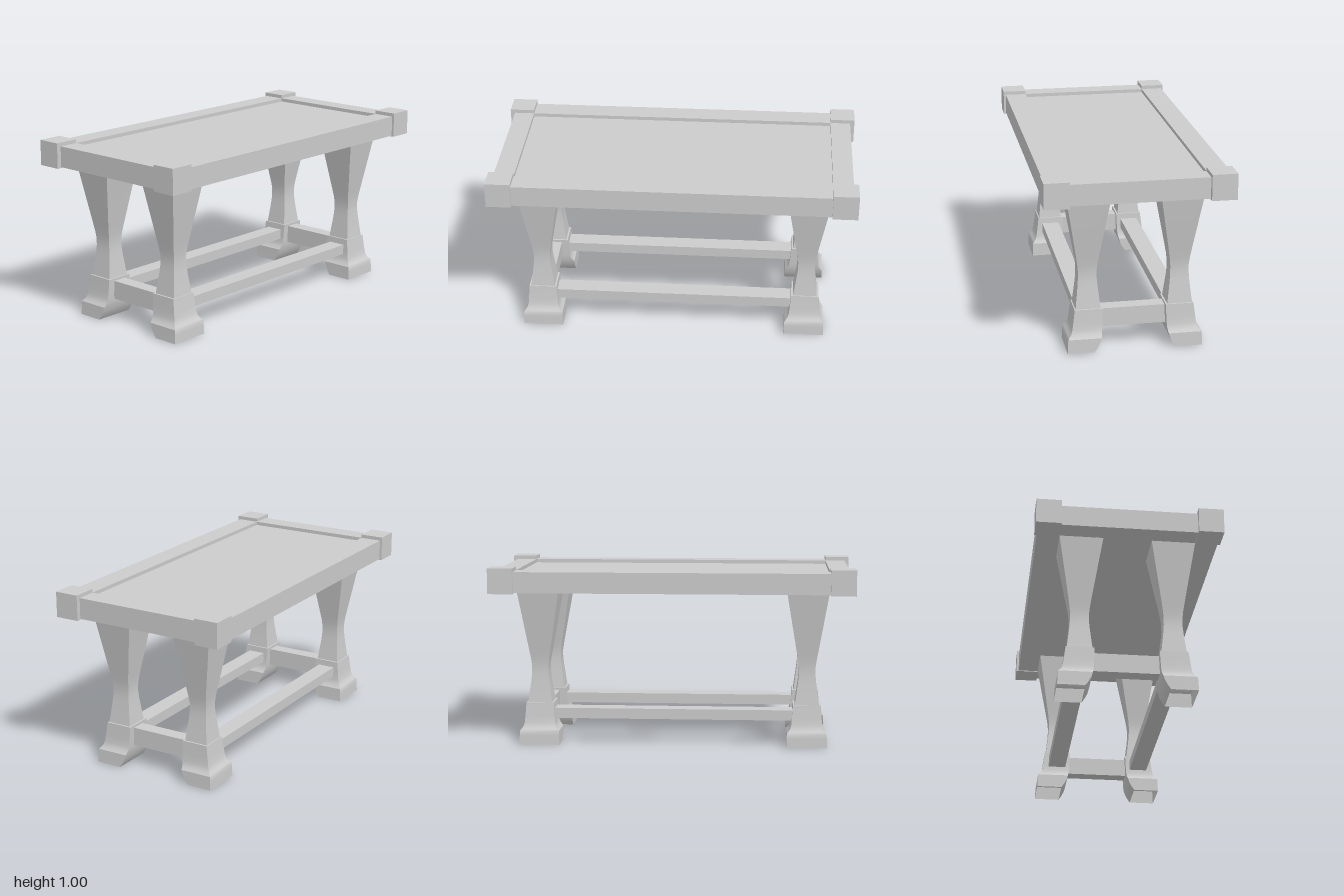
import * as THREE from 'three';
import { toCreasedNormals } from 'three/addons/utils/BufferGeometryUtils.js';

const material = new THREE.MeshStandardMaterial({ color: 0xcccccc });
const openMaterial = new THREE.MeshStandardMaterial({ color: 0xcccccc, side: THREE.DoubleSide });

// Box given by its extents on each axis
function box(name, [x0, x1], [y0, y1], [z0, z1]) {
  const mesh = new THREE.Mesh(new THREE.BoxGeometry(x1 - x0, y1 - y0, z1 - z0), material);
  mesh.position.set((x0 + x1) / 2, (y0 + y1) / 2, (z0 + z1) / 2);
  mesh.name = name;
  return mesh;
}

// Rectangular loft; rows run upwards as [y, half width in x, inner z, outer z]
function loft(rows, capBottom, capTop) {
  const pos = [];
  const idx = [];
  for (const [y, hx, zi, zo] of rows) pos.push(-hx, y, zo, hx, y, zo, hx, y, zi, -hx, y, zi);
  for (let r = 0; r < rows.length - 1; r++) {
    for (let c = 0; c < 4; c++) {
      const a = r * 4 + c, b = r * 4 + (c + 1) % 4;
      idx.push(a, b, b + 4, a, b + 4, a + 4);
    }
  }
  const t = (rows.length - 1) * 4;
  if (capBottom) idx.push(0, 2, 1, 0, 3, 2);
  if (capTop) idx.push(t, t + 1, t + 2, t, t + 2, t + 3);
  const g = new THREE.BufferGeometry();
  g.setAttribute('position', new THREE.Float32BufferAttribute(pos, 3));
  g.setIndex(idx);
  return toCreasedNormals(g, 0.6);
}

const Z = 0.247; // leg axis offset

// Waisted shaft, wide at the top
const shaftGeometry = loft([
  [0.232, 0.067, 0.18, 0.315],
  [0.30, 0.058, 0.188, 0.307],
  [0.36, 0.050, 0.195, 0.301],
  [0.40, 0.046, 0.198, 0.298],
  [0.44, 0.046, 0.198, 0.298],
  [0.48, 0.051, 0.194, 0.302],
  [0.52, 0.058, 0.188, 0.308],
  [0.865, 0.116, 0.13, 0.365],
], true, true);

// Hollow flared foot, undercut on the inner side, with a ledge around the shaft
const footGeometry = loft([
  [0, 0.113, 0.22, 0.365],
  [0.02, 0.112, 0.206, 0.364],
  [0.05, 0.111, 0.19, 0.363],
  [0.077, 0.110, 0.182, 0.361],
  [0.085, 0.103, 0.180, 0.355],
  [0.10, 0.092, 0.177, 0.343],
  [0.12, 0.086, 0.175, 0.336],
  [0.16, 0.082, 0.173, 0.330],
  [0.232, 0.077, 0.17, 0.321],
  [0.232, 0.067, 0.18, 0.315],
], false, false);

function leg(x, side) {
  const group = new THREE.Group();
  group.name = 'leg';
  const shaft = new THREE.Mesh(shaftGeometry, material);
  shaft.name = 'legShaft';
  const foot = new THREE.Mesh(footGeometry, openMaterial);
  foot.name = 'foot';
  group.add(shaft, foot);
  group.position.x = x;
  if (side < 0) group.rotation.y = Math.PI;
  return group;
}

export function createModel() {
  const model = new THREE.Group();
  model.name = 'table';
  const span = (s, a, b) => (s > 0 ? [a, b] : [-b, -a]);

  // Recessed top panel
  model.add(box('topPanel', [-0.865, 0.865], [0.865, 0.96], [-0.365, 0.365]));

  for (const s of [1, -1]) {
    // Frame rails
    model.add(box('longRail', [-0.863, 0.863], [0.865, 0.98], span(s, 0.365, 0.487)));
    model.add(box('endRail', span(s, 0.863, 0.975), [0.865, 0.98], [-0.365, 0.365]));

    // Stretchers between the feet
    model.add(box('longStretcher', [-0.668, 0.668], [0.14, 0.198], span(s, Z - 0.05, Z + 0.05)));
    model.add(box('endStretcher', span(s, 0.705, 0.785), [0.115, 0.218], [-0.174, 0.174]));

    for (const t of [1, -1]) {
      model.add(box('cornerBlock', span(s, 0.863, 1), [0.86, 1], span(t, 0.365, 0.5)));
      model.add(leg(s * 0.746, t));
    }
  }
  return model;
}
